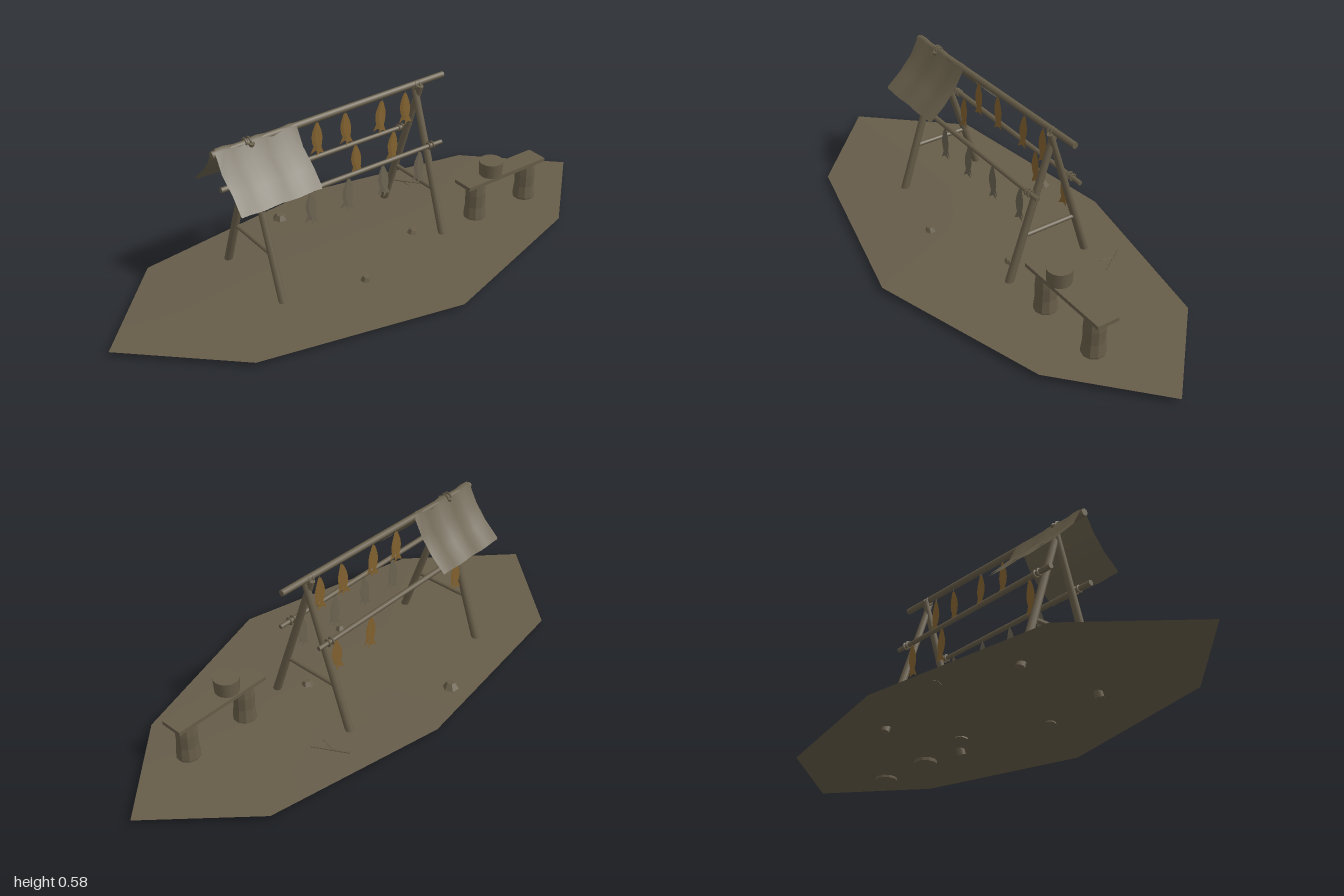
import * as THREE from 'three';

export function createModel() {
  const root = new THREE.Group();
  const mat = (name, color, side = THREE.FrontSide) => {
    const m = new THREE.MeshStandardMaterial({ color, side });
    m.name = name;
    return m;
  };
  const wood = mat('weathered wood', 0x665c48);
  const earth = mat('dry earth', 0x665c49, THREE.DoubleSide);
  const hide = mat('canopy hide', 0x675e4a, THREE.DoubleSide);
  const greyFish = mat('grey dried fish', 0x6a6250, THREE.DoubleSide);
  const brownFish = mat('brown dried fish', 0x80602f, THREE.DoubleSide);
  const V = (x, y, z) => new THREE.Vector3(x, y, z);
  const add = (name, geo, material, parent = root) => {
    const m = new THREE.Mesh(geo, material);
    m.name = name;
    parent.add(m);
    return m;
  };
  // Tapered round pole between two points
  const pole = (name, a, b, r0, r1 = r0, sides = 8) => {
    const m = add(name, new THREE.CylinderGeometry(r1, r0, a.distanceTo(b), sides), wood);
    m.position.copy(a).lerp(b, 0.5);
    m.quaternion.setFromUnitVectors(V(0, 1, 0), b.clone().sub(a).normalize());
    return m;
  };

  // Ground: eight-sided patch with a slight swelling in the middle
  const rim = [[-1, -0.03], [-0.66, 0.29], [0.05, 0.45], [0.68, 0.26],
    [1, -0.03], [0.7, -0.33], [0.05, -0.46], [-0.69, -0.37]];
  const pos = [0.05, 0.032, -0.04], index = [];
  for (const [k, y] of [[0.36, 0.029], [1, 0.022]]) {
    for (const [x, z] of rim) pos.push(0.05 + (x - 0.05) * k, y, -0.04 + (z + 0.04) * k);
  }
  for (let i = 0; i < 8; i++) {
    const a = 1 + i, b = 1 + (i + 1) % 8;
    index.push(0, a, b, a, a + 8, b + 8, a, b + 8, b);
  }
  const groundGeo = new THREE.BufferGeometry();
  groundGeo.setAttribute('position', new THREE.Float32BufferAttribute(pos, 3));
  groundGeo.setIndex(index);
  groundGeo.computeVertexNormals();
  add('ground', groundGeo, earth);

  // A-frames with crossbars and lashings
  for (const x of [-0.43, 0.26]) {
    pole('frontLeg', V(x + 0.005, 0.008, 0.087), V(x, 0.56, -0.094), 0.015, 0.012);
    pole('backLeg', V(x - 0.008, 0.008, -0.254), V(x + 0.008, 0.56, -0.068), 0.015, 0.012);
    pole('crossbar', V(x, 0.191, 0.035), V(x, 0.191, -0.2), 0.008);
    for (const [y, z, r] of [[0.358, 0.004, 0.011], [0.358, -0.168, 0.011], [0.56, -0.082, 0.013]]) {
      for (const dx of [-0.008, 0.008]) {
        const knot = add('lashing', new THREE.TorusGeometry(r, 0.004, 5, 10), wood);
        knot.position.set(x + dx, y, z);
        knot.rotation.y = Math.PI / 2;
      }
    }
  }

  // Ridge and drying poles
  pole('ridgePole', V(-0.56, 0.552, -0.082), V(0.38, 0.568, -0.082), 0.013, 0.011);
  pole('frontDryingPole', V(-0.49, 0.359, 0.004), V(0.31, 0.357, 0.004), 0.01, 0.008);
  pole('backDryingPole', V(-0.49, 0.359, -0.168), V(0.31, 0.357, -0.168), 0.01, 0.008);

  // Canopy: sagging sheet folded over the ridge, with a thin lower layer
  const profile = [[0.067, 0.397], [0.012, 0.448], [-0.038, 0.5], [-0.07, 0.56], [-0.082, 0.57],
    [-0.094, 0.56], [-0.126, 0.5], [-0.176, 0.448], [-0.231, 0.397]];
  const sheet = (drop) => {
    const g = new THREE.PlaneGeometry(0.304, 1, 10, 8);
    const p = g.attributes.position;
    for (let i = 0; i < p.count; i++) {
      const row = Math.floor(i / 11), col = i % 11;
      const [z, y] = profile[8 - row];
      const wave = 0.004 * Math.sin(col * 1.5 + 0.6);
      p.setXYZ(i, p.getX(i) - 0.397 + 0.003 * Math.sin(row * 2),
        y + wave * (row === 0 || row === 8 ? 0.5 : 1) - drop, z);
    }
    g.computeVertexNormals();
    return g;
  };
  add('canopy', sheet(0), hide);
  add('canopyLining', sheet(0.006), hide);

  // Split dried fish: two thin halves hung by the head, tail flaring below
  const half = [[0.004, 0], [0.009, -0.014], [0.015, -0.035], [0.017, -0.055],
    [0.013, -0.078], [0.008, -0.09], [0.018, -0.118]];
  const outline = new THREE.Shape([...half, [0, -0.108],
    ...half.slice().reverse().map(([x, y]) => [-x, y])].map(([x, y]) => new THREE.Vector2(x, y)));
  const fishGeo = new THREE.ShapeGeometry(outline);
  const fish = (x, y, z, material, i) => {
    const g = new THREE.Group();
    g.name = 'driedFish';
    for (const s of [-1, 1]) {
      const m = add('fishHalf', fishGeo, material, g);
      m.rotation.set(-0.05 * s, 0.15 * s, 0.04 * s);
      m.position.z = 0.002 * s;
    }
    add('hangingCord', new THREE.CylinderGeometry(0.0015, 0.0015, 0.025, 4), wood, g).position.y = 0.006;
    g.position.set(x, y, z);
    g.rotation.z = 0.07 * Math.sin(i * 2.3);
    root.add(g);
  };
  [-0.16, -0.045, 0.11, 0.212].forEach((x, i) => fish(x, 0.542, -0.082, brownFish, i));
  [-0.25, -0.095, 0.05, 0.213].forEach((x, i) => fish(x, 0.345, 0.004, greyFish, i + 4));
  [-0.39, 0.06, 0.232].forEach((x, i) => fish(x, 0.348, -0.168, brownFish, i + 8));

  // Bench: two stumps, plank and a small tub
  const stumpShape = [[0, 0], [0.04, 0], [0.042, 0.015], [0.037, 0.06], [0.038, 0.11], [0.035, 0.15], [0, 0.15]];
  for (const x of [0.44, 0.69]) {
    const g = new THREE.LatheGeometry(stumpShape.map(([r, y]) => new THREE.Vector2(r, y)), 10).toNonIndexed();
    g.computeVertexNormals();
    add('benchStump', g, wood).position.set(x, 0.016, 0.058);
  }
  add('benchPlank', new THREE.BoxGeometry(0.375, 0.014, 0.082), wood).position.set(0.562, 0.176, 0.056);
  add('tub', new THREE.CylinderGeometry(0.045, 0.042, 0.055, 16), wood).position.set(0.508, 0.21, 0.06);

  // Stones and twigs on the ground
  for (const [x, z, r, turn] of [[-0.15, -0.358, 0.03, 0.4], [-0.132, 0.15, 0.022, 1.1], [0.18, 0.018, 0.027, 2]]) {
    const g = new THREE.CylinderGeometry(r * 0.5, r, 0.022, 6).toNonIndexed();
    g.computeVertexNormals();
    const s = add('stone', g, wood);
    s.position.set(x, 0.034, z);
    s.rotation.set(0.08, turn, 0.06);
  }
  pole('twig', V(0.34, 0.034, -0.33), V(0.412, 0.042, -0.22), 0.003, 0.002, 5);
  pole('twigBranch', V(0.37, 0.037, -0.285), V(0.36, 0.044, -0.23), 0.002, 0.001, 5);
  return root;
}
